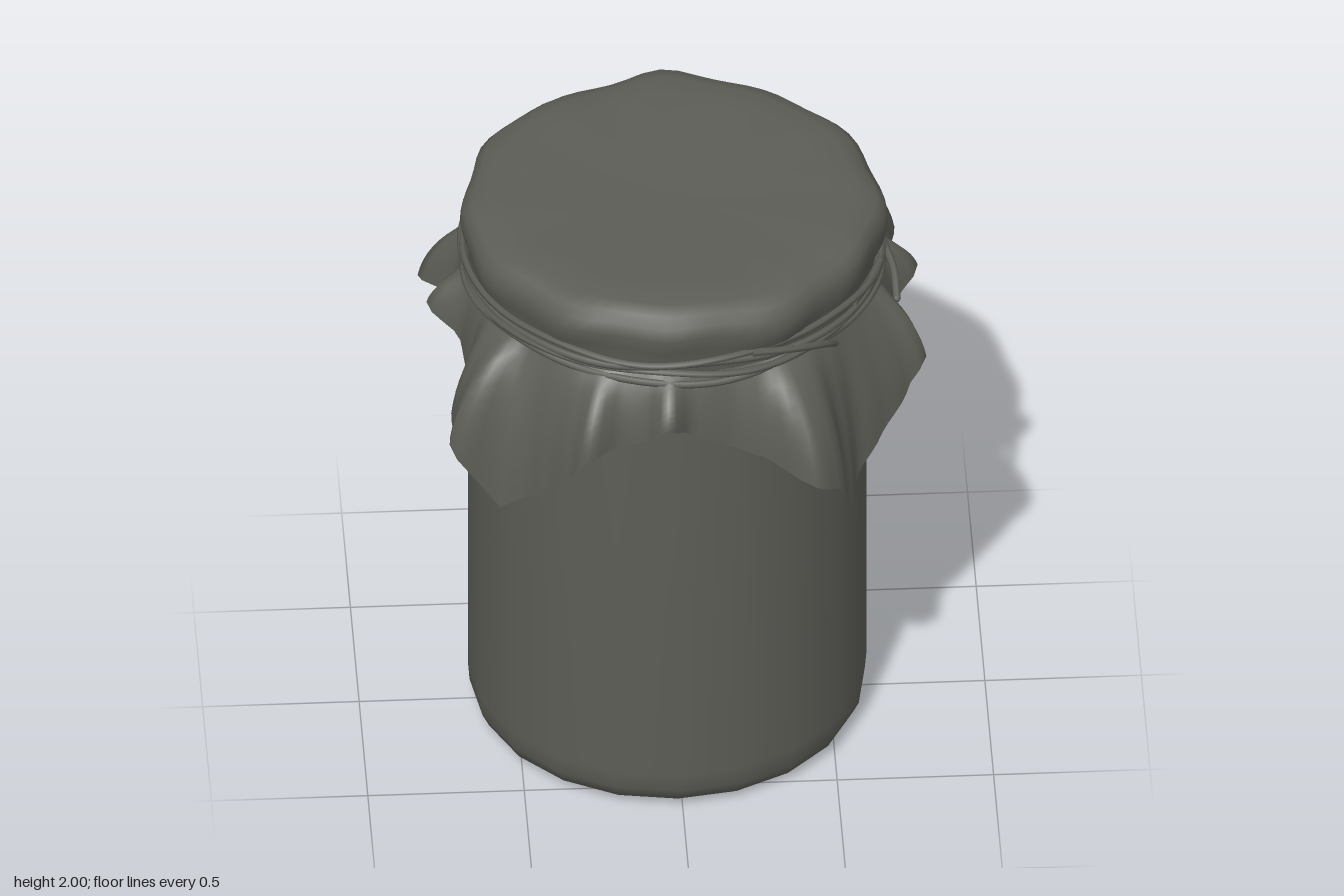
import * as THREE from 'three';

const rad = Math.PI / 180;

// Smooth surface through closed rings, listed from bottom to top: point(row, angleInDegrees) -> [x, y, z]
function ringSurface(rows, sides, point) {
  const pos = [], idx = [];
  for (let i = 0; i < rows; i++) {
    for (let j = 0; j < sides; j++) {
      pos.push(...point(i, j * 360 / sides));
      if (i === rows - 1) continue;
      const k = (j + 1) % sides, a = i * sides + j, b = i * sides + k;
      idx.push(a, a + sides, b, b, a + sides, b + sides);
    }
  }
  const g = new THREE.BufferGeometry();
  g.setAttribute('position', new THREE.Float32BufferAttribute(pos, 3));
  g.setIndex(idx);
  g.computeVertexNormals();
  return g;
}

// Hem of half the cloth: angle, radius, height. The other half repeats it turned by 180 degrees.
const hem = [
  [18, 0.84, 1.50], [23, 0.80, 1.41], [33, 0.765, 1.30], [40, 0.745, 1.21], [47, 0.79, 1.13],
  [55, 0.88, 1.33], [61, 0.90, 1.38], [70, 0.74, 1.45], [78, 0.70, 1.49], [88, 0.70, 1.55],
  [94, 0.785, 1.63], [100, 0.72, 1.53], [106, 0.73, 1.52], [113, 0.84, 1.50], [117, 0.80, 1.41],
  [125, 0.77, 1.28], [131, 0.76, 1.23], [137, 0.81, 1.17], [143, 0.92, 1.42], [150, 0.84, 1.42],
  [159, 0.71, 1.47], [168, 0.70, 1.54], [176, 0.79, 1.63], [183, 0.71, 1.54], [190, 0.70, 1.52],
  [198, 0.84, 1.50],
];

function hemAt(angle) {
  const a = ((angle - 18) % 180 + 180) % 180 + 18;
  let k = 0;
  while (k < hem.length - 2 && hem[k + 1][0] <= a) k++;
  const [a0, r0, y0] = hem[k], [a1, r1, y1] = hem[k + 1];
  const t = (a - a0) / (a1 - a0), s = t * t * (3 - 2 * t);
  return [r0 + (r1 - r0) * s, y0 + (y1 - y0) * t];
}

// Small uneven ripple of the cloth around the lid
const ripple = a => 0.008 * Math.sin(a * rad * 12 + 1) + 0.006 * Math.sin(a * rad * 7) + 0.006 * Math.sin(a * rad * 5 + 2);

export function createModel() {
  const model = new THREE.Group();
  const grey = new THREE.MeshStandardMaterial({ color: 0x5c5d56, side: THREE.DoubleSide });
  grey.name = 'dark olive grey';
  const add = (name, geometry, parent = model) => {
    const mesh = new THREE.Mesh(geometry, grey);
    mesh.name = name;
    parent.add(mesh);
    return mesh;
  };

  // Jar body with a rounded foot and a shallow hollow underneath
  const profile = [
    [0, 0.03], [0.3, 0.025], [0.42, 0.008], [0.5, 0], [0.575, 0.012], [0.61, 0.03], [0.632, 0.075],
    [0.637, 0.14], [0.637, 0.8], [0.637, 1.5], [0.625, 1.6], [0.6, 1.7],
  ].map(p => new THREE.Vector2(...p));
  add('jarBody', new THREE.LatheGeometry(profile, 20)).position.x = -0.015;

  // Cloth over the lid
  const cap = [
    [0.645, 1.73], [0.648, 1.80], [0.668, 1.85], [0.676, 1.90], [0.668, 1.945],
    [0.64, 1.973], [0.59, 1.988], [0.5, 1.994], [0.3, 1.987], [0.12, 1.982], [0, 1.982],
  ];
  add('clothCap', ringSurface(cap.length, 72, (i, a) => {
    const [r, y] = cap[i];
    const weight = i < 2 ? 0.3 : i < 6 ? 1 : Math.max(0, (r - 0.2) * 1.2);
    const back = 0.025 * Math.exp(-(((a - 270) / 9) ** 2)) * (i > 1 && i < 7 ? 1 : 0);
    const rr = r + ripple(a) * weight + back;
    return [rr * Math.cos(a * rad), y + ripple(a + 40) * weight * (i > 4 ? 0.35 : 0.6), rr * Math.sin(a * rad)];
  }));

  // Flared skirt of the cloth with four hanging corners
  const rows = 10;
  add('clothSkirt', ringSurface(rows, 180, (i, a) => {
    const t = 1 - i / (rows - 1), s = 1 - t;
    const [R, H] = hemAt(a);
    const top = 0.65, midR = 0.66 + (R - 0.66) * 0.85, midY = H + (1.75 - H) * 0.6;
    const r = s * s * top + 2 * s * t * midR + t * t * R;
    const y = s * s * 1.76 + 2 * s * t * midY + t * t * H;
    return [r * Math.cos(a * rad), y, r * Math.sin(a * rad)];
  }));

  // Twine wound around the neck
  const twine = new THREE.Group();
  twine.name = 'twine';
  model.add(twine);
  [1.742, 1.765, 1.79, 1.815].forEach((y, n) => {
    const points = [];
    for (let k = 0; k < 40; k++) {
      const a = k * 9 * rad;
      const r = 0.668 + 0.007 * Math.sin(5 * a + n * 2);
      points.push(new THREE.Vector3(
        r * Math.cos(a), y + 0.01 * Math.sin(3 * a + n * 1.7) + 0.004 * Math.sin(8 * a + n), r * Math.sin(a)));
    }
    const path = new THREE.CatmullRomCurve3(points, true);
    add('twineLoop', new THREE.TubeGeometry(path, 120, 0.012, 6, true), twine);
  });

  // Loose ends of the twine
  const ends = [
    [[0.22, 1.82, 0.635], [0.36, 1.79, 0.58], [0.46, 1.745, 0.5], [0.50, 1.695, 0.43]],
    [[0.64, 1.76, -0.2], [0.675, 1.74, -0.05], [0.705, 1.705, 0.06], [0.71, 1.66, 0.16]],
    [[0.56, 1.80, 0.36], [0.62, 1.81, 0.25], [0.655, 1.81, 0.16]],
  ];
  for (const end of ends) {
    const path = new THREE.CatmullRomCurve3(end.map(p => new THREE.Vector3(...p)));
    add('twineEnd', new THREE.TubeGeometry(path, 14, 0.013, 6), twine);
    const tip = add('twineTip', new THREE.SphereGeometry(0.013, 6, 4), twine);
    tip.position.set(...end[end.length - 1]);
  }

  return model;
}
